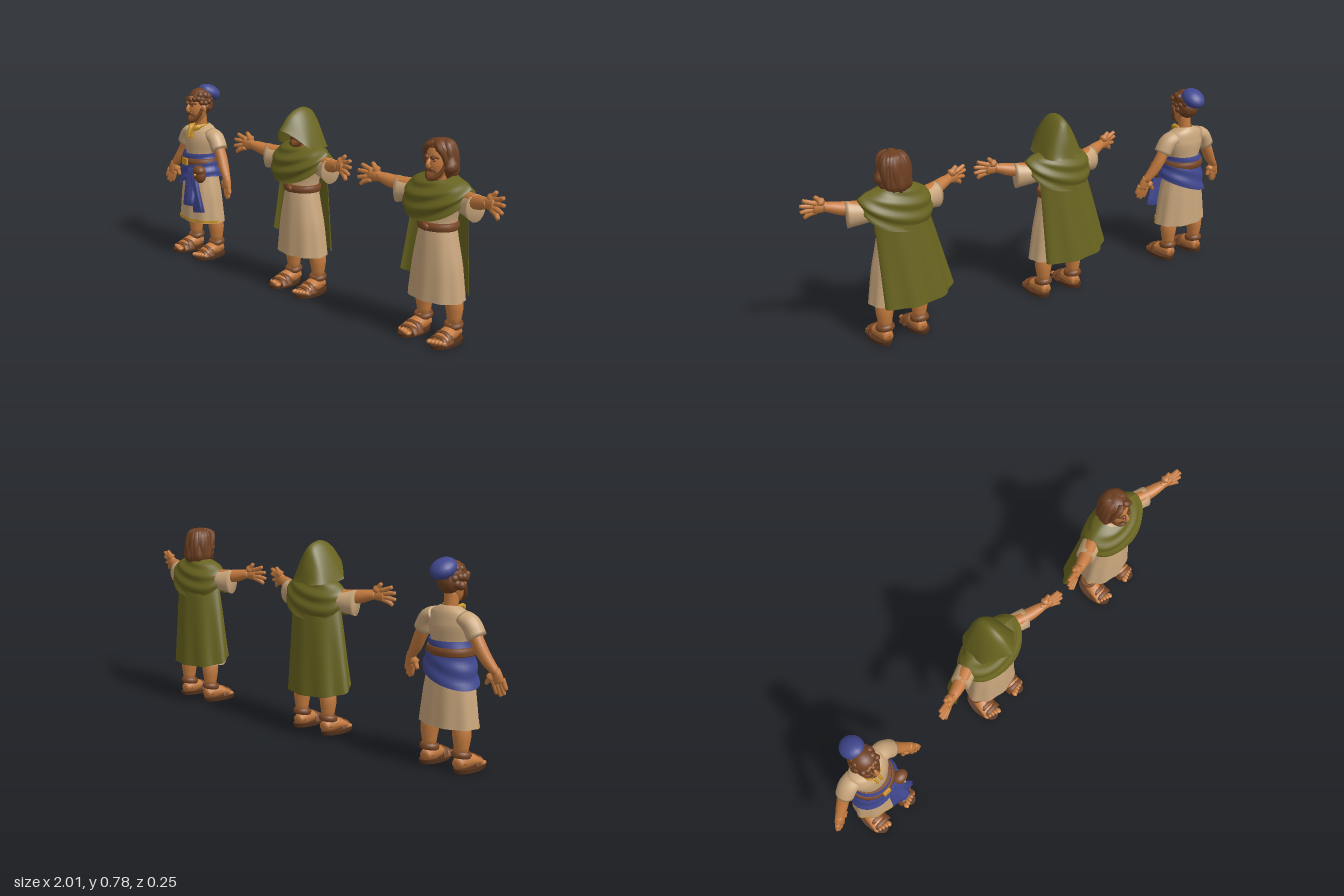
import * as THREE from 'three';

const mat = (name, color, side = THREE.FrontSide) => {
  const m = new THREE.MeshStandardMaterial({ color, side });
  m.name = name;
  return m;
};
const D = THREE.DoubleSide;
const M = {
  skin: mat('skin', 0xc47a3e), hair: mat('hair', 0x6e3f20), linen: mat('linen', 0xc9a67c, D),
  green: mat('green wool', 0x69641f, D), blue: mat('blue cloth', 0x414890, D), leather: mat('leather', 0x7a4826),
  sole: mat('sole', 0x54321b), gold: mat('gold', 0xcf9626, D),
};
const lerp = THREE.MathUtils.lerp;

function add(g, geo, m, name) {
  const mesh = new THREE.Mesh(geo, m);
  mesh.name = name;
  g.add(mesh);
  return mesh;
}

function build(pos, idx) {
  const geo = new THREE.BufferGeometry();
  geo.setAttribute('position', new THREE.Float32BufferAttribute(pos, 3));
  geo.setIndex(idx);
  geo.computeVertexNormals();
  return geo;
}

// Elliptical rings swept along a smooth path; each point is [x, y, z, ra, rb]
function tube(pts, { n = 12, ref = [0, 0, 1], cap = true, fold = () => 1 } = {}) {
  const path = new THREE.CatmullRomCurve3(pts.map(p => new THREE.Vector3(p[0], p[1], p[2])));
  const radii = new THREE.CatmullRomCurve3(pts.map(p => new THREE.Vector3(p[3], p[4] ?? p[3], 0)));
  const steps = (pts.length - 1) * 4, pos = [], idx = [];
  const rows = [];
  for (let i = 0; i <= steps; i++) rows.push([i / steps, 1]);
  if (cap) { rows.unshift([0, 0]); rows.push([1, 0]); }
  const R = new THREE.Vector3(...ref);
  rows.forEach(([v, k], i) => {
    const c = path.getPoint(v), t = path.getTangent(v), r = radii.getPoint(v);
    const b = R.clone().addScaledVector(t, -R.dot(t)).normalize();
    const a = t.clone().cross(b);
    for (let j = 0; j < n; j++) {
      const th = j / n * Math.PI * 2, f = k * fold(th, v);
      const p = c.clone().addScaledVector(a, Math.cos(th) * f * Math.max(r.x, 5e-4))
        .addScaledVector(b, Math.sin(th) * f * Math.max(r.y, 5e-4));
      pos.push(p.x, p.y, p.z);
      if (i < rows.length - 1) {
        const q = i * n + j, e = i * n + (j + 1) % n;
        idx.push(q, q + n, e, e, q + n, e + n);
      }
    }
  });
  return build(pos, idx);
}

// Surface from a rule fn(u, v) -> [x, y, z]
function grid(fn, nu, nv) {
  const pos = [], idx = [];
  for (let i = 0; i <= nv; i++) for (let j = 0; j <= nu; j++) {
    pos.push(...fn(j / nu, i / nv));
    if (i < nv && j < nu) {
      const q = i * (nu + 1) + j, w = q + nu + 1;
      idx.push(q, w, q + 1, q + 1, w, w + 1);
    }
  }
  return build(pos, idx);
}

function ball(g, m, name, x, y, z, rx, ry = rx, rz = rx) {
  const s = add(g, new THREE.SphereGeometry(1, 16, 12), m, name);
  s.position.set(x, y, z);
  s.scale.set(rx, ry, rz);
  return s;
}

function leg(g, s) {
  const x = s * 0.075;
  add(g, tube([[x, 0.03, -0.02, 0.027], [x, 0.08, -0.018, 0.027], [x * 0.98, 0.15, -0.016, 0.036], [x * 0.7, 0.24, -0.004, 0.034]]), M.skin, 'leg');
  const sole = add(g, new THREE.CylinderGeometry(1, 0.96, 0.015, 24), M.sole, 'sandalSole');
  sole.position.set(x + s * 0.006, 0.0075, 0.028);
  sole.scale.set(0.042, 1, 0.083);
  add(g, tube([[x, 0.032, -0.045, 0.02, 0.018], [x, 0.038, -0.01, 0.029, 0.032], [x + s * 0.004, 0.034, 0.04, 0.034, 0.022],
    [x + s * 0.006, 0.024, 0.075, 0.034, 0.01]], { ref: [0, 1, 0] }), M.skin, 'foot');
  for (let i = 0; i < 5; i++)
    ball(g, M.skin, 'toe', x + s * (i * 0.014 - 0.022), 0.021, 0.094 - i * 0.005, i ? 0.008 : 0.011, 0.009, 0.014);
  // Straps over the toes and around the ankle
  for (const [z, h] of [[0.068, 0.024], [0.043, 0.037]])
    add(g, tube([[x - 0.036, 0.012, z, 0.005, 0.015], [x - 0.024, 0.014 + h * 0.8, z, 0.005, 0.015], [x + s * 0.005, 0.014 + h, z, 0.005, 0.015],
      [x + 0.03, 0.014 + h * 0.75, z, 0.005, 0.015], [x + 0.043, 0.012, z, 0.005, 0.015]], { n: 8 }), M.leather, 'toeStrap');
  const ankle = add(g, new THREE.TorusGeometry(0.03, 0.008, 8, 20), M.leather, 'ankleStrap');
  ankle.position.set(x, 0.065, -0.016);
  ankle.rotation.x = Math.PI / 2 + 0.15;
  ankle.scale.z = 1.6;
}

// Hand laid out along direction ang, with b measured towards the thumb
function hand(g, s, [ox, oy, oz], ang, k, spread, dz) {
  const P = (a, b, r, r2 = r) => [s * (ox + a * Math.cos(ang) - k * b * Math.sin(ang)), oy + a * Math.sin(ang) + k * b * Math.cos(ang), oz + a * dz - b * 0.25, r, r2];
  add(g, tube([P(-0.01, 0, 0.017, 0.016), P(0.015, 0, 0.023, 0.016), P(0.042, 0, 0.024, 0.013)]), M.skin, 'palm');
  for (const [b, a1, b1] of [[0.017, 0.08, 0.036], [0.006, 0.09, 0.012], [-0.006, 0.087, -0.015], [-0.017, 0.071, -0.04]])
    add(g, tube([P(0.03, b, 0.01), P(0.06, lerp(b, b1 * spread, 0.5), 0.0095), P(a1, b1 * spread, 0.007)], { n: 8 }), M.skin, 'finger');
  add(g, tube([P(0.008, 0.01, 0.011), P(0.023, 0.03, 0.011), P(0.038, 0.047, 0.007)], { n: 8 }), M.skin, 'thumb');
}

function head(g) {
  add(g, tube([[0, 0.56, -0.01, 0.03], [0, 0.6, -0.005, 0.027], [0, 0.66, 0, 0.028]]), M.skin, 'neck');
  add(g, tube([[0, 0.622, 0.035, 0.014, 0.014], [0, 0.645, 0.022, 0.032, 0.036], [0, 0.685, 0.014, 0.042, 0.048], [0, 0.725, 0.008, 0.042, 0.046],
    [0, 0.75, 0, 0.022, 0.028]], { n: 20 }), M.skin, 'face');
  add(g, tube([[0, 0.705, 0.058, 0.005], [0, 0.685, 0.07, 0.008], [0, 0.674, 0.067, 0.011, 0.007]], { n: 8 }), M.skin, 'nose');
  ball(g, M.hair, 'scalp', 0, 0.722, -0.002, 0.05, 0.05, 0.056);
  ball(g, M.hair, 'nape', 0, 0.695, -0.02, 0.046, 0.045, 0.042);
  for (const s of [-1, 1]) {
    ball(g, M.skin, 'ear', s * 0.044, 0.685, 0.008, 0.007, 0.015, 0.011);
    ball(g, M.hair, 'eye', s * 0.017, 0.697, 0.055, 0.006, 0.004, 0.005);
    add(g, tube([[s * 0.006, 0.706, 0.062, 0.005], [s * 0.02, 0.711, 0.057, 0.005], [s * 0.033, 0.706, 0.046, 0.003]], { n: 6, ref: [0, 1, 0] }), M.hair, 'eyebrow');
    add(g, tube([[0, 0.666, 0.063, 0.004], [s * 0.014, 0.662, 0.058, 0.004], [s * 0.023, 0.65, 0.05, 0.003]], { n: 6, ref: [0, 1, 0] }), M.hair, 'moustache');
    add(g, tube([[s * 0.041, 0.69, 0.02, 0.007], [s * 0.034, 0.655, 0.032, 0.009], [s * 0.015, 0.632, 0.049, 0.01], [0, 0.628, 0.055, 0.011]], { n: 8 }), M.hair, 'beard');
  }
}

function tunic(g) {
  add(g, tube([[0, 0.165, 0.003, 0.124, 0.082], [0, 0.3, 0.003, 0.106, 0.076], [0, 0.4, 0.003, 0.084, 0.068], [0, 0.46, 0, 0.074, 0.062],
    [0, 0.54, -0.003, 0.092, 0.064], [0, 0.585, -0.008, 0.08, 0.05], [0, 0.608, -0.006, 0.034, 0.034]],
  { n: 48, cap: false, fold: (th, v) => 1 + 0.03 * Math.max(0, 1 - v * 2) * Math.sin(9 * th) }), M.linen, 'tunic');
  add(g, tube([[0, 0.435, 0.002, 0.081, 0.07], [0, 0.45, 0.002, 0.084, 0.074], [0, 0.465, 0.002, 0.08, 0.069]], { n: 32 }), M.leather, 'belt');
}

// Curly-haired figure with arms lowered
function sashFigure() {
  const g = new THREE.Group();
  tunic(g);
  head(g);
  for (const s of [-1, 1]) {
    leg(g, s);
    add(g, tube([[s * 0.06, 0.568, -0.01, 0.03, 0.04], [s * 0.095, 0.552, -0.01, 0.034, 0.04], [s * 0.123, 0.505, -0.008, 0.036, 0.038]], { n: 16 }), M.linen, 'sleeve');
    add(g, tube([[s * 0.1, 0.54, -0.01, 0.026], [s * 0.136, 0.475, -0.008, 0.025], [s * 0.162, 0.43, 0, 0.023], [s * 0.197, 0.385, 0.012, 0.016]]), M.skin, 'arm');
    hand(g, s, [0.193, 0.39, 0.012], -1.3, -1, 0.5, 0.15);
    add(g, tube([[s * 0.034, 0.607, -0.006, 0.006], [s * 0.03, 0.604, 0.022, 0.007], [s * 0.012, 0.588, 0.05, 0.007], [s * 0.01, 0.55, 0.063, 0.006]], { n: 8 }), M.gold, 'collarTrim');
  }
  // Front hem trim, following the folds of the tunic
  add(g, grid((u, v) => {
    const th = Math.PI * (0.97 - 0.94 * u), f = 1.012 + 0.03 * Math.sin(9 * th);
    return [0.1245 * f * Math.cos(th), lerp(0.18, 0.168, v), 0.003 + 0.0825 * f * Math.sin(th)];
  }, 40, 1), M.gold, 'hemTrim');
  // Curls in three rows, left open over the face
  for (const [y, r, cut, n] of [[0.738, 0.036, 2, 10], [0.714, 0.043, 0.7, 13], [0.685, 0.042, 0.2, 13]])
    for (let i = 0; i < n; i++) {
      const a = i / n * Math.PI * 2 + y * 40;
      if (Math.sin(a) < cut) ball(g, M.hair, 'curl', Math.cos(a) * r, y + 0.006 * Math.sin(i * 5), Math.sin(a) * r, 0.015 + 0.003 * Math.sin(i * 7));
    }
  for (const x of [-0.036, -0.018, 0.002, 0.02, 0.037]) ball(g, M.hair, 'forelock', x, 0.724 + x * 0.15, 0.052 - Math.abs(x) * 0.4, 0.013);
  ball(g, M.blue, 'cap', 0, 0.745, -0.053, 0.048, 0.035, 0.055).rotation.x = -0.45;
  // Sash around the hips with a slanting lower edge
  add(g, grid((u, v) => {
    const th = -u * Math.PI * 2, c = Math.cos(th), s = Math.sin(th);
    const y = lerp(0.485, 0.347 + 0.035 * c + 0.012 * s, v);
    const f = 1 + 0.03 * Math.sin(v * 16 + c * 2), k = lerp(0.083, 0.112, v);
    return [c * k * f, y, 0.003 + s * (k - 0.006 - v * 0.014) * f];
  }, 40, 16), M.blue, 'sash');
  for (const [x0, x1, y1, z1, w] of [[0.02, 0.03, 0.25, 0.103, 0.034], [0.045, 0.085, 0.225, 0.088, 0.036], [0.03, 0.055, 0.265, 0.116, 0.026]])
    add(g, tube([[x0, 0.42, 0.078, 0.016, 0.01], [lerp(x0, x1, 0.4), 0.35, 0.09, 0.024, 0.012], [x1, y1, z1, w, 0.011]],
      { n: 24, fold: th => 1 + 0.12 * Math.sin(th * 6) }), M.blue, 'sashEnd');
  add(g, tube([[0, 0.43, 0.004, 0.095, 0.084], [0, 0.446, 0.004, 0.096, 0.087], [0, 0.462, 0.004, 0.092, 0.082]], { n: 32 }), M.leather, 'outerBelt');
  add(g, new THREE.BoxGeometry(0.034, 0.03, 0.009), M.gold, 'buckle').position.set(-0.002, 0.447, 0.092);
  ball(g, M.leather, 'pouch', 0.08, 0.395, 0.074, 0.031, 0.037, 0.026);
  ball(g, M.leather, 'pouchFlap', 0.08, 0.416, 0.078, 0.033, 0.023, 0.026);
  ball(g, M.gold, 'pouchClasp', 0.08, 0.4, 0.101, 0.006);
  return g;
}

// Cloaked figure with arms spread
function cloakFigure(hooded) {
  const g = new THREE.Group();
  tunic(g);
  const h = new THREE.Group();
  h.name = 'head';
  g.add(h);
  head(h);
  ball(g, M.leather, 'beltKnot', 0, 0.45, 0.076, 0.016, 0.014, 0.009);
  for (const s of [-1, 1]) {
    leg(g, s);
    add(g, tube([[s * 0.07, 0.56, -0.01, 0.04, 0.045], [s * 0.14, 0.55, 0.005, 0.044, 0.04], [s * 0.19, 0.548, 0.022, 0.053, 0.039]], { n: 20 }), M.linen, 'sleeve');
    add(g, tube([[s * 0.12, 0.57, 0, 0.028], [s * 0.2, 0.574, 0.028, 0.027], [s * 0.235, 0.582, 0.04, 0.023], [s * 0.266, 0.588, 0.05, 0.017]]), M.skin, 'arm');
    hand(g, s, [0.259, 0.588, 0.048], 0, 1, 1, 0.28);
  }
  // Shawl over the shoulders, draped lower at front and back
  add(g, grid((u, v) => {
    const th = -u * Math.PI * 2, c = Math.cos(th), s = Math.sin(th), e = Math.sin(Math.min(1, v * 1.3) * Math.PI / 2);
    const y = lerp(0.638 - 0.015 * Math.max(0, s), 0.565 - 0.09 * Math.abs(s) ** 0.9 + 0.02 * c, v ** 1.2);
    const f = 1 + 0.05 * Math.sin(v * 19 + c * 2.5) * Math.abs(s);
    return [c * lerp(0.058, 0.15, e) * f, y, Math.sign(s) * Math.abs(s) ** 0.85 * lerp(0.052, s > 0 ? 0.098 : 0.09, e) * f];
  }, 56, 28), M.green, 'shawl');
  // Long cape, swung out and forwards on the right
  add(g, grid((u, v) => {
    const a = lerp(lerp(-1.5, -1.9, v), 1.15, u), f = 1 + 0.05 * v * Math.sin(a * 8);
    const hem = 0.168 + 0.055 * (1 - u) ** 3;
    return [-0.05 * v + lerp(0.118, 0.158, v) * Math.sin(a) * f, lerp(0.575, hem, v), -0.037 * v - lerp(0.078, 0.084, v) * Math.cos(a) * f];
  }, 40, 20), M.green, 'cape');
  if (hooded) {
    h.scale.setScalar(0.9);
    h.position.set(0, 0.062, -0.002);
    // Pointed hood: side panels hang from a ridge running front to back
    const V = (y, z) => new THREE.Vector3(0, y, z);
    const ridge = new THREE.CatmullRomCurve3([V(0.698, 0.122), V(0.76, 0.065), V(0.781, 0.005), V(0.762, -0.05), V(0.705, -0.075), V(0.62, -0.092)]);
    const edge = new THREE.CatmullRomCurve3([V(0.63, 0.052), V(0.622, 0.02), V(0.618, -0.05), V(0.615, -0.092)]);
    add(g, grid((u, v) => {
      const k = u * 2 - 1, m = Math.abs(k), r = ridge.getPoint(v), b = edge.getPoint(v);
      const w = 0.092 * Math.sqrt(Math.max(0, 1 - (v * 0.92) ** 4));
      return [Math.sign(k) * w * m ** 0.8, lerp(r.y, b.y, m ** 1.3), lerp(r.z, b.z, m)];
    }, 28, 24), M.green, 'hood');
  } else {
    // Shoulder-length locks around the back, parted fringe in front
    for (let i = 0; i < 13; i++) {
      const a = lerp(-0.2, Math.PI + 0.2, i / 12), c = Math.cos(a), s = Math.sin(a), w = 0.003 * Math.sin(i * 4);
      add(g, tube([[0.012 * c, 0.76, -0.01 * s, 0.01], [0.038 * c, 0.746, -0.005 - 0.036 * s, 0.017], [0.047 * c, 0.7, -0.008 - 0.045 * s, 0.019 + w],
        [0.046 * c, 0.65, -0.01 - 0.046 * s, 0.019 - w], [0.042 * c, 0.625 + w, -0.012 - 0.045 * s, 0.009]], { n: 8, ref: [0.3, 0.1, 1] }), M.hair, 'lock');
    }
    for (const s of [-1, 1])
      add(g, tube([[s * 0.004, 0.757, 0.03, 0.013], [s * 0.026, 0.746, 0.042, 0.014], [s * 0.044, 0.715, 0.032, 0.011], [s * 0.049, 0.67, 0.02, 0.008]], { n: 8 }), M.hair, 'fringe');
  }
  return g;
}

export function createModel() {
  const model = new THREE.Group();
  model.name = 'robedFigures';
  const place = (fig, name, x) => {
    fig.name = name;
    fig.position.x = x;
    model.add(fig);
  };
  place(sashFigure(), 'sashFigure', -0.768);
  place(cloakFigure(true), 'hoodedFigure', -0.09);
  place(cloakFigure(false), 'cloakedFigure', 0.65);
  return model;
}
